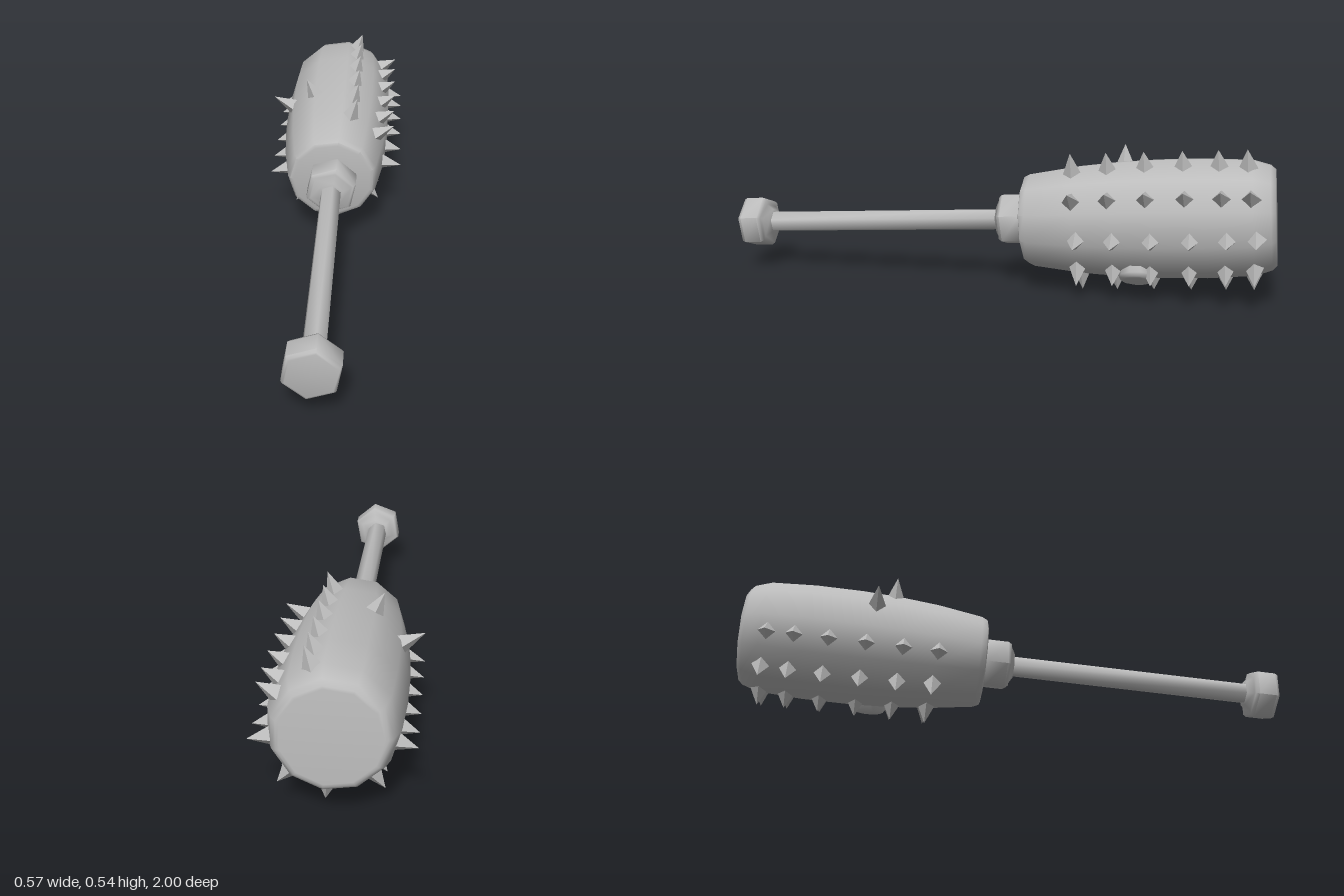
import * as THREE from 'three';
import { toCreasedNormals } from 'three/addons/utils/BufferGeometryUtils.js';

const DEG = Math.PI / 180;

export function createModel() {
  const model = new THREE.Group();
  const iron = new THREE.MeshStandardMaterial({ color: 0xbcbcbc });
  iron.name = 'grey iron';

  // The whole club lies along its own z axis, slightly tilted
  const club = new THREE.Group();
  club.name = 'spikedClub';
  club.position.set(0.06, 0.234, 0);
  club.quaternion.setFromUnitVectors(
    new THREE.Vector3(0, 0, 1), new THREE.Vector3(0.112, -0.068, 1).normalize());
  model.add(club);

  function add(name, geometry, parent = club) {
    const mesh = new THREE.Mesh(geometry, iron);
    mesh.name = name;
    parent.add(mesh);
    return mesh;
  }

  // Profile of [radius, z] pairs turned about z, first corner at the given angle
  function turned(name, profile, sides, angle, crease) {
    const points = profile.map(([r, z]) => new THREE.Vector2(r, z));
    const g = new THREE.LatheGeometry(points, sides, (angle + 90) * DEG);
    g.rotateX(Math.PI / 2);
    return add(name, toCreasedNormals(g, crease * DEG));
  }

  // Barrel-shaped head with softly rounded rims and flat ends
  const headProfile = [
    [0, -0.985], [0.158, -0.985], [0.168, -0.984], [0.184, -0.968], [0.203, -0.91], [0.212, -0.75],
    [0.212, -0.58], [0.206, -0.44], [0.194, -0.3], [0.17, -0.135], [0.16, -0.114], [0.147, -0.11], [0, -0.11],
  ];
  turned('head', headProfile, 11, 82, 48);

  // Hexagonal collar, grip and pommel
  turned('collar', [
    [0, -0.13], [0.088, -0.13], [0.097, -0.1], [0.097, -0.028], [0.088, -0.016],
    [0.08, -0.016], [0.05, 0], [0, 0],
  ], 6, 18, 62);
  turned('handle', [[0.04, -0.05], [0.04, 0.93]], 6, 18, 70);
  turned('pommel', [
    [0, 0.885], [0.05, 0.885], [0.07, 0.905], [0.09, 0.905], [0.098, 0.918],
    [0.098, 0.982], [0.092, 0.994], [0.085, 0.996], [0, 0.996],
  ], 6, 20, 62);

  // Surface radius of the head at a given z
  function headRadius(z) {
    for (let i = 1; i < headProfile.length; i++) {
      const [r0, z0] = headProfile[i - 1], [r1, z1] = headProfile[i];
      if (z <= z1 && z1 > z0) return r0 + (r1 - r0) * (z - z0) / (z1 - z0);
    }
    return 0;
  }

  // Four-sided spikes, the tip pointing straight out from the axis
  const spikes = new THREE.Group();
  spikes.name = 'spikes';
  club.add(spikes);
  function spike(angle, z, tip) {
    const base = headRadius(z) - 0.022;
    const g = new THREE.ConeGeometry(0.037, tip - base, 4).toNonIndexed();
    g.computeVertexNormals();
    g.translate(0, (tip + base) / 2, 0);
    const mesh = add('spike', g, spikes);
    mesh.rotation.z = (angle - 90) * DEG;
    mesh.position.z = z;
  }
  const rows = [[71, 0], [30, -0.01], [-11, -0.025], [-49, -0.015], [-84, -0.01], [-126, 0], [-163, 0.01]];
  const stations = [-0.295, -0.42, -0.55, -0.68, -0.8, -0.895];
  for (const [angle, shift] of rows) {
    for (const z of stations) spike(angle, z + shift, angle === -84 ? 0.254 : 0.264);
  }
  // Two lone spikes on the bare side
  spike(116, -0.46, 0.274);
  spike(152, -0.52, 0.29);

  // Blunt stud among the lower spikes
  const studProfile = [[0.062, 0.15], [0.064, 0.216], [0.056, 0.228], [0.046, 0.231], [0, 0.232]];
  const studGeometry = new THREE.LatheGeometry(studProfile.map(([r, y]) => new THREE.Vector2(r, y)), 10);
  const stud = add('stud', toCreasedNormals(studGeometry, 50 * DEG));
  stud.rotation.z = (-58 - 90) * DEG;
  stud.position.z = -0.515;

  return model;
}
